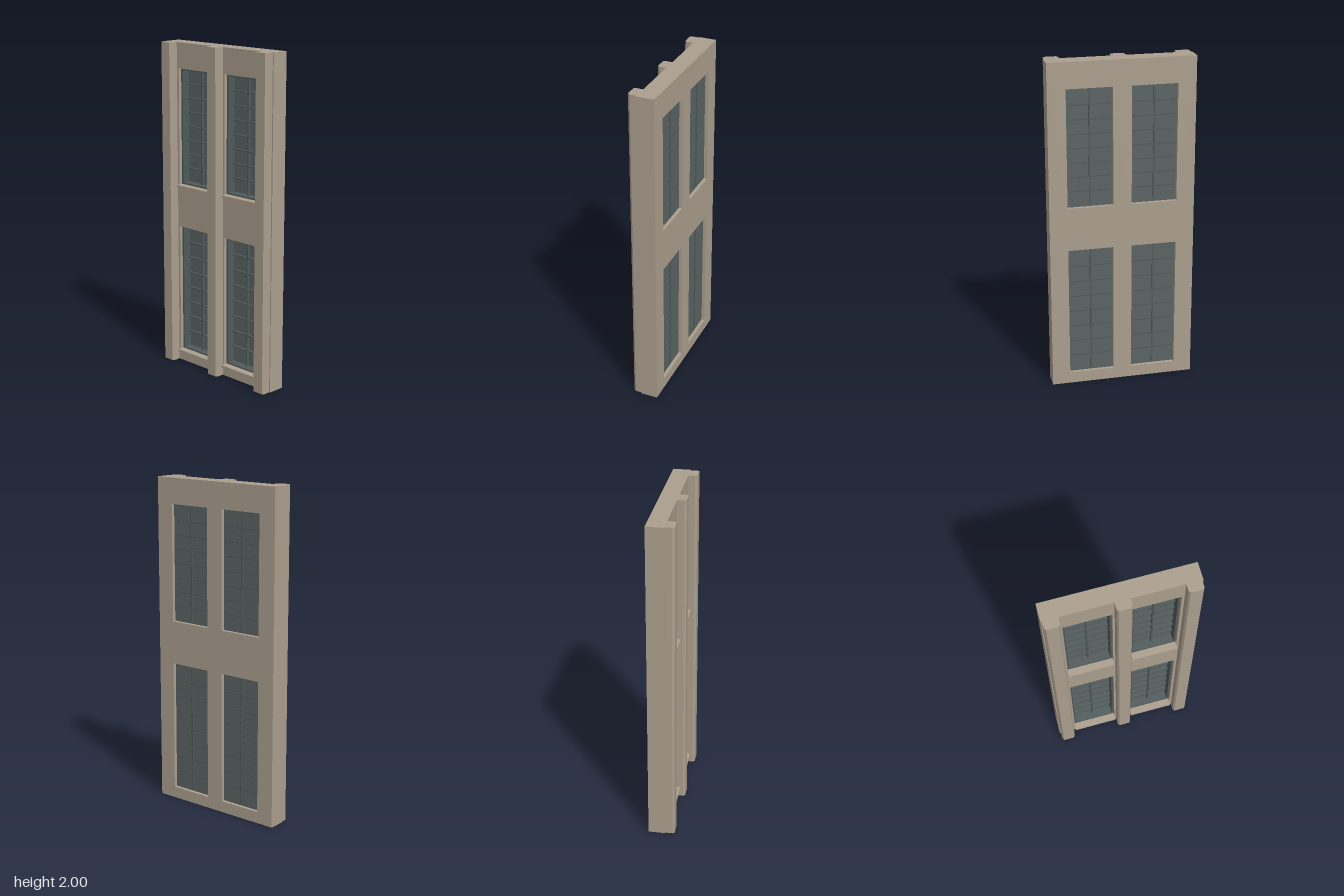
import * as THREE from 'three';

const mat = (name, color) => {
  const m = new THREE.MeshStandardMaterial({ color });
  m.name = name;
  return m;
};

export function createModel() {
  const group = new THREE.Group();
  const stone = mat('stone', 0xab9f8e);
  const glass = mat('glass', 0x5b6363);
  const metal = mat('window metal', 0x505a5a);

  const add = (parent, name, geometry, material) => {
    const mesh = new THREE.Mesh(geometry, material);
    mesh.name = name;
    parent.add(mesh);
    return mesh;
  };
  // Box given by its limits
  const box = (parent, name, material, x0, x1, y0, y1, z0, z1) => {
    const mesh = add(parent, name, new THREE.BoxGeometry(x1 - x0, y1 - y0, z1 - z0), material);
    mesh.position.set((x0 + x1) / 2, (y0 + y1) / 2, (z0 + z1) / 2);
    return mesh;
  };
  const rectangle = (C, x0, x1, y0, y1) =>
    new C([[x0, y0], [x1, y0], [x1, y1], [x0, y1]].map(p => new THREE.Vector2(...p)));
  const extrude = (shape, depth) =>
    new THREE.ExtrudeGeometry(shape, { depth, bevelEnabled: false });

  const openings = [];
  for (const cx of [-0.191, 0.191])
    for (const [y0, y1] of [[0.07, 0.872], [1.135, 1.845]])
      openings.push({ x0: cx - 0.136, x1: cx + 0.136, y0, y1 });

  // Wall slab pierced by four windows
  const wallShape = rectangle(THREE.Shape, -0.435, 0.435, 0, 2);
  for (const o of openings) wallShape.holes.push(rectangle(THREE.Path, o.x0, o.x1, o.y0, o.y1));
  add(group, 'wall', extrude(wallShape, 0.105), stone).position.z = -0.08;

  // Full-height pilasters with chamfered front corners
  const w = 0.043, c = 0.009;
  const section = new THREE.Shape([
    [-w, -0.025], [w, -0.025], [w, -0.065], [w - c, -0.078], [c - w, -0.078], [-w, -0.065],
  ].map(p => new THREE.Vector2(...p)));
  for (const x of [-0.385, 0, 0.385]) {
    const pilaster = add(group, 'pilaster', extrude(section, 2), stone);
    pilaster.rotation.x = -Math.PI / 2;
    pilaster.position.x = x;
  }

  // Windows: frame, pane, glazing bars and sill
  for (const { x0, x1, y0, y1 } of openings) {
    const win = new THREE.Group();
    win.name = 'window';
    group.add(win);
    const t = 0.012, cx = (x0 + x1) / 2;
    const frameShape = rectangle(THREE.Shape, x0, x1, y0, y1);
    frameShape.holes.push(rectangle(THREE.Path, x0 + t, x1 - t, y0 + t, y1 - t));
    add(win, 'windowFrame', extrude(frameShape, 0.06), metal).position.z = -0.055;
    box(win, 'pane', glass, x0 + 0.001, x1 - 0.001, y0 + 0.001, y1 - 0.001, -0.06, -0.048);
    box(win, 'verticalBar', metal, cx - 0.005, cx + 0.005, y0 + t, y1 - t, -0.066, -0.03);
    const step = (y1 - y0 - 2 * t) / 8;
    for (let i = 1; i < 8; i++) {
      const y = y0 + t + i * step;
      box(win, 'horizontalBar', metal, x0 + t, x1 - t, y - 0.004, y + 0.004, -0.065, -0.032);
    }
    box(win, 'sill', stone, x0, x1, y0 - 0.012, y0 + 0.003, 0.005, 0.05);
  }
  return group;
}
